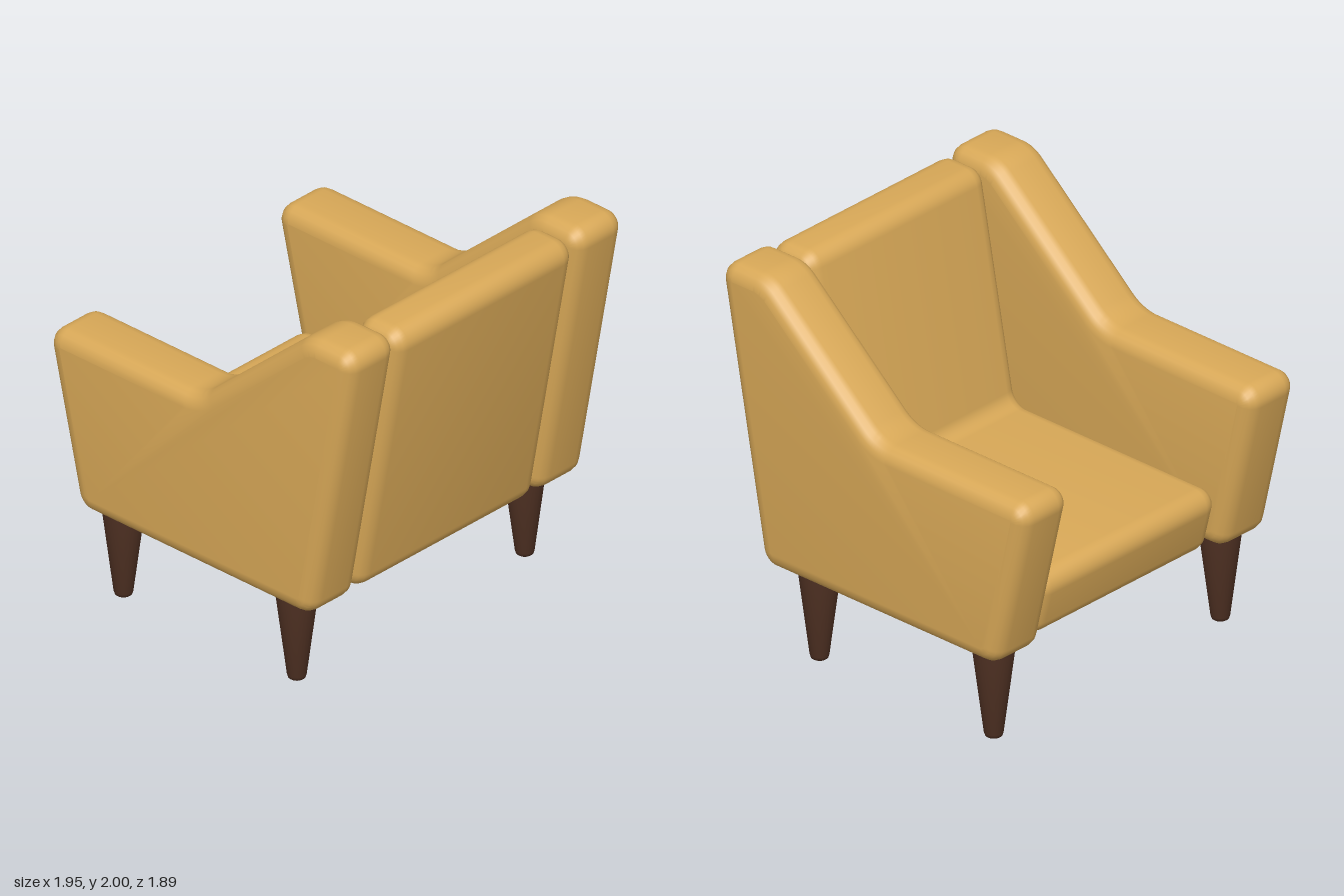
import * as THREE from 'three';
import { toCreasedNormals } from 'three/addons/utils/BufferGeometryUtils.js';

const BEVEL = 0.08;

// Closed shape from counter-clockwise corners [x, y, radius], each rounded by an arc
function roundedShape(corners) {
  const shape = new THREE.Shape();
  const n = corners.length;
  const point = (i) => new THREE.Vector2(...corners[(i + n) % n].slice(0, 2));
  corners.forEach(([, , radius], i) => {
    const p = point(i);
    const a = point(i - 1).sub(p).normalize();
    const b = point(i + 1).sub(p).normalize();
    const half = Math.acos(a.dot(b)) / 2;
    const reach = radius / Math.tan(half);
    const centre = a.clone().add(b).normalize().multiplyScalar(radius / Math.sin(half)).add(p);
    const from = a.clone().multiplyScalar(reach).add(p).sub(centre);
    const to = b.clone().multiplyScalar(reach).add(p).sub(centre);
    const concave = a.cross(b) > 0;
    if (i === 0) shape.moveTo(centre.x + from.x, centre.y + from.y);
    shape.absarc(centre.x, centre.y, radius, from.angle(), to.angle(), concave);
  });
  shape.closePath();
  return shape;
}

// Padded slab: a side profile given thickness along z, with soft edges
function cushion(corners, thickness) {
  const geometry = new THREE.ExtrudeGeometry(roundedShape(corners), {
    depth: thickness - 2 * BEVEL,
    bevelThickness: BEVEL,
    bevelSize: BEVEL,
    bevelOffset: -BEVEL,
    bevelSegments: 4,
    curveSegments: 5,
  });
  geometry.translate(0, 0, BEVEL - thickness / 2);
  return toCreasedNormals(geometry, 0.9);
}

export function createModel() {
  const fabric = new THREE.MeshStandardMaterial({ color: 0xd8a857 });
  fabric.name = 'mustardFabric';
  const wood = new THREE.MeshStandardMaterial({ color: 0x4e3022 });
  wood.name = 'darkWood';

  const chair = new THREE.Group();
  chair.name = 'armchair';
  const add = (name, geometry, material, x, y, z) => {
    const mesh = new THREE.Mesh(geometry, material);
    mesh.name = name;
    mesh.position.set(x, y, z);
    chair.add(mesh);
  };

  // Seat and backrest in one L-shaped piece; the sitter faces -x
  const seat = cushion([
    [-0.72, 0.475, 0.09], [0.706, 0.475, 0.1], [0.985, 1.98, 0.09],
    [0.705, 1.98, 0.09], [0.487, 0.815, 0.08], [-0.805, 0.815, 0.085],
  ], 1.225);
  add('seatAndBack', seat, fabric, 0, 0, 0);

  // Side panels, sweeping up from the armrest to the back
  const side = cushion([
    [-0.785, 0.472, 0.1], [0.708, 0.472, 0.1], [0.99, 2, 0.085],
    [0.682, 2, 0.2], [-0.02, 1.388, 0.22], [-0.997, 1.388, 0.085],
  ], 0.328);

  // Tapered legs with a rounded foot
  const leg = new THREE.LatheGeometry([
    [0, 0], [0.034, 0], [0.042, 0.006], [0.047, 0.022], [0.103, 0.47], [0.103, 0.51], [0, 0.51],
  ].map(([r, y]) => new THREE.Vector2(r, y)), 24);
  const legGeometry = toCreasedNormals(leg, 0.7);

  for (const [label, sign] of [['near', 1], ['far', -1]]) {
    add(`${label}Arm`, side, fabric, 0, 0, sign * 0.78);
    add(`${label}FrontLeg`, legGeometry, wood, -0.635, 0, sign * 0.78);
    add(`${label}BackLeg`, legGeometry, wood, 0.48, 0, sign * 0.78);
  }
  return chair;
}
